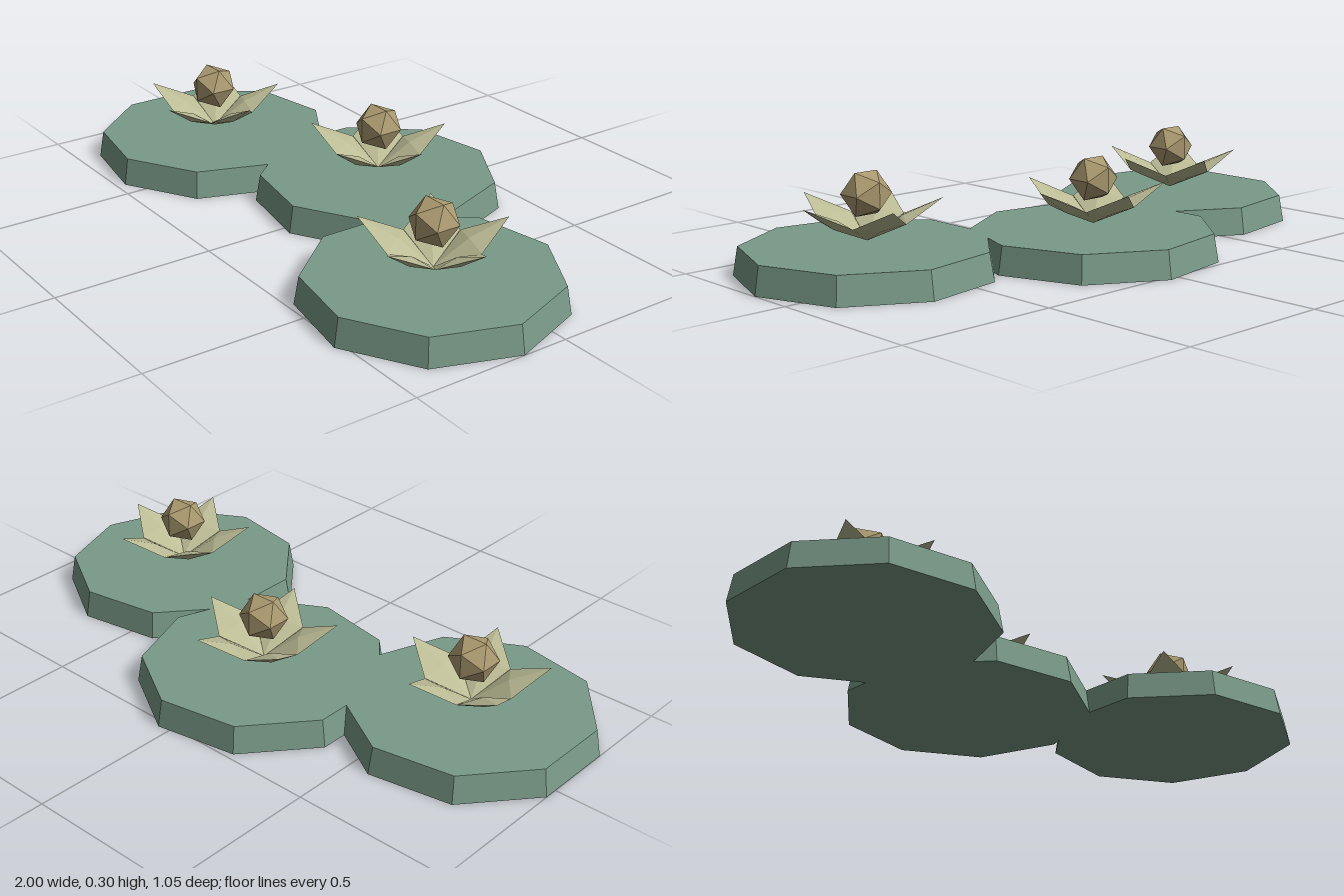
import * as THREE from 'three';

const padMat = new THREE.MeshStandardMaterial({ color: 0x7a9a88, flatShading: true });
padMat.name = 'pad green';
const petalMat = new THREE.MeshStandardMaterial({ color: 0xbcbc96, flatShading: true });
petalMat.name = 'petal cream';
const heartMat = new THREE.MeshStandardMaterial({ color: 0xab9a70, flatShading: true });
heartMat.name = 'heart ochre';

function part(name, geometry, material) {
  const mesh = new THREE.Mesh(geometry, material);
  mesh.name = name;
  return mesh;
}

// Nine-sided slab with a corner towards +x, slightly narrower on top
const padGeo = new THREE.CylinderGeometry(0.373, 0.388, 0.086, 9);
padGeo.rotateY(Math.PI / 2);
padGeo.translate(0, 0.043, 0);

// Thin faceted diamond, tilted upwards from the flower's middle
const petalGeo = new THREE.OctahedronGeometry(1);
petalGeo.scale(0.127, 0.014, 0.08);
petalGeo.rotateZ(Math.atan2(0.122, 0.222));
petalGeo.translate(0.111, 0.158, 0);

const heartGeo = new THREE.IcosahedronGeometry(0.075);

function lily(x, z) {
  const group = new THREE.Group();
  group.name = 'lily';
  group.position.set(x, 0, z);
  group.add(part('pad', padGeo, padMat));

  // Five petals around a faceted heart
  const flower = new THREE.Group();
  flower.name = 'flower';
  for (let i = 0; i < 5; i++) {
    const petal = part('petal', petalGeo, petalMat);
    petal.rotation.y = (i * Math.PI * 2) / 5;
    flower.add(petal);
  }
  const heart = part('heart', heartGeo, heartMat);
  heart.position.y = 0.236;
  flower.add(heart);
  group.add(flower);
  return group;
}

export function createModel() {
  const model = new THREE.Group();
  model.name = 'lilyPads';
  for (const [x, z] of [[-0.635, 0.09], [-0.028, -0.143], [0.612, 0.143]]) {
    model.add(lily(x, z));
  }
  return model;
}
